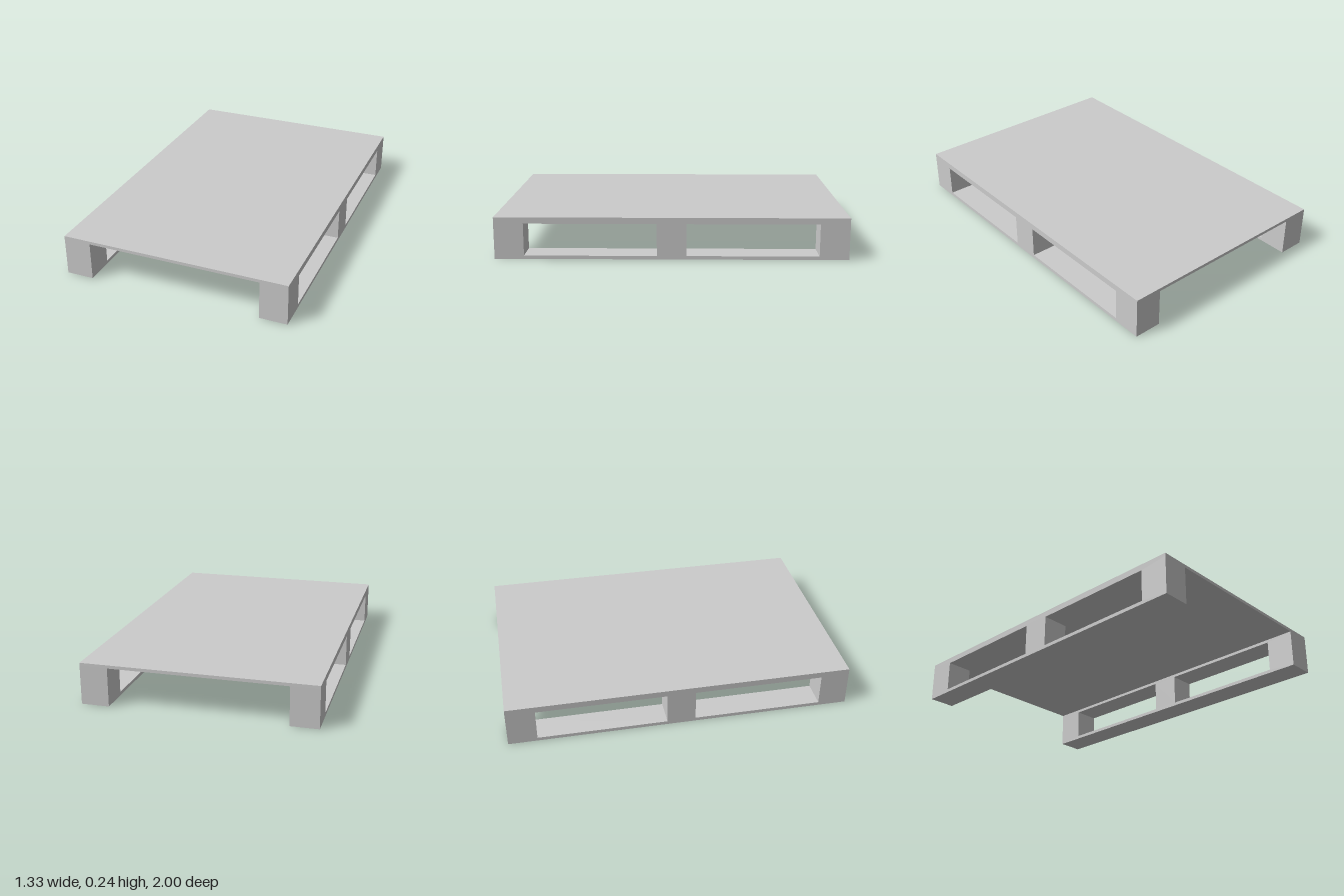
import * as THREE from 'three';

const WIDTH = 1.33, LENGTH = 2, HEIGHT = 0.241;
const DECK = 0.018, RUNNER = 0.16;

// Clockwise or counter-clockwise rectangle traced onto a shape or path
function rectangle(path, x0, y0, x1, y1) {
  path.moveTo(x0, y0);
  path.lineTo(x1, y0);
  path.lineTo(x1, y1);
  path.lineTo(x0, y1);
  path.closePath();
  return path;
}

export function createModel() {
  const model = new THREE.Group();
  model.name = 'pallet';
  const grey = new THREE.MeshStandardMaterial({ color: 0xcccccc });
  grey.name = 'light grey';

  // Thin deck board
  const deck = new THREE.Mesh(new THREE.BoxGeometry(WIDTH, DECK, LENGTH), grey);
  deck.name = 'deck';
  deck.position.y = HEIGHT - DECK / 2;
  model.add(deck);

  // Side runner profile with two fork openings
  const profile = rectangle(new THREE.Shape(), -LENGTH / 2, 0, LENGTH / 2, HEIGHT - DECK);
  for (const start of [-0.833, 0.083]) {
    profile.holes.push(rectangle(new THREE.Path(), start, 0.02, start + 0.75, 0.205));
  }
  const runnerGeometry = new THREE.ExtrudeGeometry(profile, { depth: RUNNER, bevelEnabled: false });
  runnerGeometry.translate(0, 0, -RUNNER / 2);
  runnerGeometry.rotateY(Math.PI / 2);

  // One runner along each long edge
  for (const side of [-1, 1]) {
    const runner = new THREE.Mesh(runnerGeometry, grey);
    runner.name = side > 0 ? 'leftRunner' : 'rightRunner';
    runner.position.x = side * (WIDTH - RUNNER) / 2;
    model.add(runner);
  }
  return model;
}
